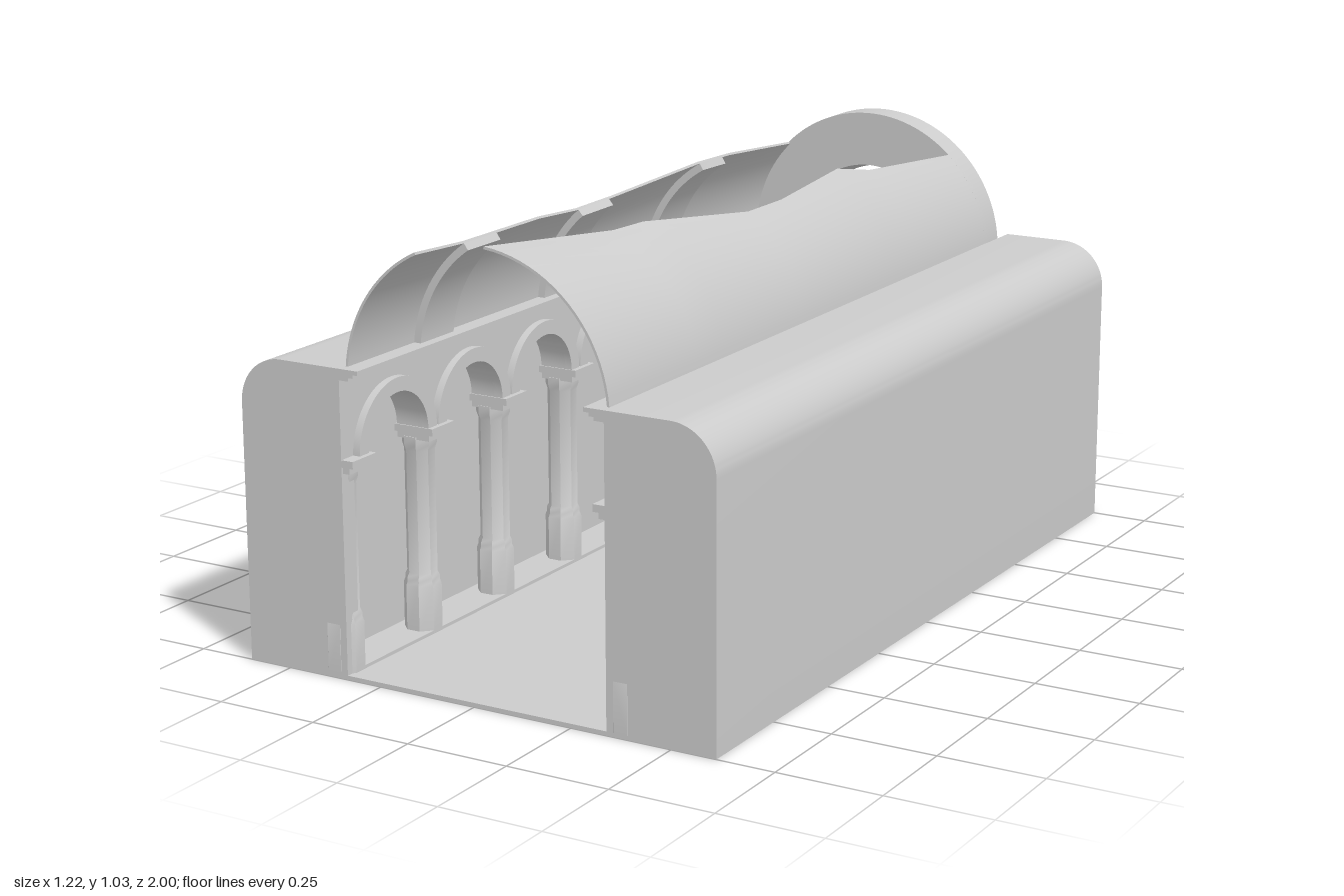
import * as THREE from 'three';
import { toCreasedNormals, mergeGeometries } from 'three/addons/utils/BufferGeometryUtils.js';

const material = new THREE.MeshStandardMaterial({ color: 0xcccccc });
const SPRING = 0.69, R = 0.34;

export function createModel() {
  const model = new THREE.Group();

  function add(name, geometry) {
    const flat = geometry.index ? geometry.toNonIndexed() : geometry;
    const mesh = new THREE.Mesh(toCreasedNormals(flat, 0.5), material);
    mesh.name = name;
    model.add(mesh);
  }

  // Mirror across x, swapping two corners of each triangle to keep faces outward
  function mirrored(geometry) {
    const g = geometry.index ? geometry.toNonIndexed() : geometry.clone();
    g.scale(-1, 1, 1);
    const p = g.attributes.position;
    for (let i = 0; i < p.count; i += 3) {
      const b = new THREE.Vector3().fromBufferAttribute(p, i + 1);
      const c = new THREE.Vector3().fromBufferAttribute(p, i + 2);
      p.setXYZ(i + 1, c.x, c.y, c.z);
      p.setXYZ(i + 2, b.x, b.y, b.z);
    }
    return g;
  }

  function addBoth(name, geometry) {
    add('left ' + name, geometry);
    add('right ' + name, mirrored(geometry));
  }

  // Box from its limits
  function box(x0, x1, y0, y1, z0, z1) {
    return new THREE.BoxGeometry(x1 - x0, y1 - y0, z1 - z0)
      .translate((x0 + x1) / 2, (y0 + y1) / 2, (z0 + z1) / 2);
  }

  // Extrude a (z, y) outline across x from x0 to x1
  function extrudeAcross(shape, x0, x1) {
    return new THREE.ExtrudeGeometry(shape, { depth: x1 - x0, bevelEnabled: false, curveSegments: 20 })
      .rotateY(-Math.PI / 2).translate(x1, 0, 0);
  }

  // Floor
  add('floor', box(-0.46, 0.46, 0, 0.01, -1, 1));

  // Side masses: rounded outer shoulder, hollow aisle on the inner side
  const mass = new THREE.Shape();
  mass.moveTo(0.34, 0);
  mass.lineTo(0.61, 0);
  mass.lineTo(0.61, 0.61);
  mass.absarc(0.5, 0.61, 0.11, 0, Math.PI / 2, false);
  mass.lineTo(0.34, 0.72);
  mass.lineTo(0.34, 0.69);
  mass.lineTo(0.45, 0.69);
  mass.lineTo(0.45, 0.01);
  mass.lineTo(0.34, 0.01);
  mass.closePath();
  addBoth('side mass', new THREE.ExtrudeGeometry(mass, { depth: 2, bevelEnabled: false, curveSegments: 12 })
    .translate(0, 0, -1));
  addBoth('front end wall', box(0.34, 0.46, 0, 0.7, 0.955, 1));
  addBoth('back end wall', box(0.34, 0.46, 0, 0.7, -1, -0.87));

  // Arcade: wall with six arches, archivolts, columns and capitals
  const BAYS = 6, STEP = 0.304, Z0 = -0.865, ARCH_Y = 0.51, ARCH_R = 0.115;
  const wall = new THREE.Shape();
  wall.moveTo(Z0, 0.7);
  wall.lineTo(Z0, ARCH_Y);
  for (let i = 0; i < BAYS; i++) {
    const c = Z0 + (i + 0.5) * STEP;
    wall.lineTo(c - ARCH_R, ARCH_Y);
    wall.absarc(c, ARCH_Y, ARCH_R, Math.PI, 0, true);
  }
  wall.lineTo(Z0 + BAYS * STEP, ARCH_Y);
  wall.lineTo(Z0 + BAYS * STEP, 0.7);
  wall.closePath();
  addBoth('arcade wall', extrudeAcross(wall, 0.34, 0.41));

  for (let i = 0; i < BAYS; i++) {
    const c = Z0 + (i + 0.5) * STEP;
    const ring = new THREE.Shape();
    ring.absarc(c, ARCH_Y, 0.149, 0, Math.PI, false);
    ring.absarc(c, ARCH_Y, ARCH_R, Math.PI, 0, true);
    ring.closePath();
    addBoth('archivolt ' + (i + 1), extrudeAcross(ring, 0.322, 0.345));
  }

  // Octagonal shaft on a wider pedestal
  const columnProfile = [[0, 0.01], [0.045, 0.01], [0.045, 0.125], [0.041, 0.135], [0.041, 0.145],
    [0.036, 0.155], [0.036, 0.45], [0.041, 0.465], [0.041, 0.485], [0, 0.485]]
    .map(([r, y]) => new THREE.Vector2(r, y));
  for (let i = 0; i <= BAYS; i++) {
    const z = Z0 + i * STEP;
    const column = new THREE.LatheGeometry(columnProfile, 8, Math.PI / 8).translate(0.375, 0, z);
    addBoth('column ' + (i + 1), column);
    addBoth('capital ' + (i + 1), mergeGeometries([
      box(0.31, 0.415, 0.495, 0.512, z - 0.048, z + 0.04),
      box(0.322, 0.41, 0.48, 0.495, z - 0.042, z + 0.036)]));
  }
  addBoth('plinth curb', box(0.334, 0.42, 0.005, 0.018, -0.87, 0.96));

  // Stepped cornice above the arcade
  addBoth('cornice', mergeGeometries([
    box(0.29, 0.345, 0.71, 0.72, -0.87, 1),
    box(0.303, 0.345, 0.702, 0.71, -0.87, 1),
    box(0.315, 0.345, 0.694, 0.702, -0.87, 1)]));

  // End arch with piers; its opening widens slightly toward the hall
  const IN = 0.19;
  const arch = new THREE.Shape();
  arch.moveTo(R, 0.005);
  arch.lineTo(R, SPRING);
  arch.absarc(0, SPRING, R, 0, Math.PI, false);
  arch.lineTo(-R, 0.005);
  arch.lineTo(-IN, 0.005);
  arch.lineTo(-IN, SPRING);
  arch.absarc(0, SPRING, IN, Math.PI, 0, true);
  arch.lineTo(IN, 0.005);
  arch.closePath();
  const archGeo = new THREE.ExtrudeGeometry(arch, { depth: 0.075, bevelEnabled: false, curveSegments: 40 });
  const ap = archGeo.attributes.position;
  for (let i = 0; i < ap.count; i++) {
    const x = ap.getX(i), dy = Math.max(0, ap.getY(i) - SPRING);
    if (ap.getZ(i) > 0.07 && Math.hypot(x, dy) < 0.2) {
      const k = 0.203 / IN;
      ap.setX(i, x * k);
      if (dy > 0) ap.setY(i, SPRING + dy * k);
    }
  }
  add('end arch', archGeo.translate(0, 0, -0.94));
  addBoth('end arch impost', mergeGeometries([
    box(0.148, 0.32, 0.71, 0.72, -0.88, -0.815),
    box(0.168, 0.32, 0.702, 0.71, -0.88, -0.828),
    box(0.18, 0.32, 0.694, 0.702, -0.88, -0.84)]));

  // Curved shell on the +x side, radially cut at a z-dependent edge
  function shell(rOut, rIn, sections) {
    const N = 20, start = 0.088, pos = [], idx = [], L = 2 * (N + 1);
    sections.forEach(([edgeX, z]) => {
      const end = Math.acos(edgeX / R);
      for (let j = 0; j < L; j++) {
        const outer = j <= N, r = outer ? rOut : rIn;
        const a = start + (end - start) * (outer ? j : L - 1 - j) / N;
        pos.push(r * Math.cos(a), SPRING + r * Math.sin(a), z);
      }
    });
    for (let s = 0; s < sections.length - 1; s++) {
      for (let j = 0; j < L; j++) {
        const a = s * L + j, b = s * L + (j + 1) % L;
        idx.push(a, b, b + L, a, b + L, a + L);
      }
    }
    const last = (sections.length - 1) * L;
    for (let j = 0; j < N; j++) {
      const q = [j, j + 1, L - 2 - j, L - 1 - j];
      idx.push(q[0], q[2], q[1], q[0], q[3], q[2]);
      idx.push(...[q[0], q[1], q[2], q[0], q[2], q[3]].map(k => k + last));
    }
    const g = new THREE.BufferGeometry();
    g.setAttribute('position', new THREE.Float32BufferAttribute(pos, 3));
    g.setIndex(idx);
    return g;
  }

  // Broken vault edges as [distance from the middle, z]
  const edgeMinus = [[0.24, -0.88], [0.185, -0.45], [0.17, -0.265], [0.215, 0.065],
    [0.22, 0.22], [0.195, 0.42], [0.195, 0.725], [0.148, 0.975]];
  const edgePlus = [[0.23, -0.88], [0.2, -0.475], [0.17, -0.36], [0.195, -0.03],
    [0.195, 0.13], [0.13, 0.49], [0.125, 0.61], [0.03, 0.975]];
  function edgeAt(edge, z) {
    const i = Math.max(1, edge.findIndex(p => p[1] >= z));
    const [x0, z0] = edge[i - 1], [x1, z1] = edge[i];
    return x0 + (x1 - x0) * (z - z0) / (z1 - z0);
  }
  add('left vault', shell(R, R - 0.006, edgePlus));
  add('right vault', mirrored(shell(R, R - 0.006, edgeMinus)));

  // Ribs under the vault; lower = how far short of the broken edge they stop
  function rib(edge, z, lower) {
    return shell(R - 0.005, 0.316, [z - 0.065, z, z + 0.065].map(s => [edgeAt(edge, s) + lower, s]));
  }
  [[0.55, 0], [0.05, 0.02], [-0.45, 0.02]].forEach(([z, l], i) => add('left rib ' + (i + 1), rib(edgePlus, z, l)));
  [0.66, 0.148, -0.338].forEach((z, i) => add('right rib ' + (i + 1), mirrored(rib(edgeMinus, z, 0))));

  return model;
}
